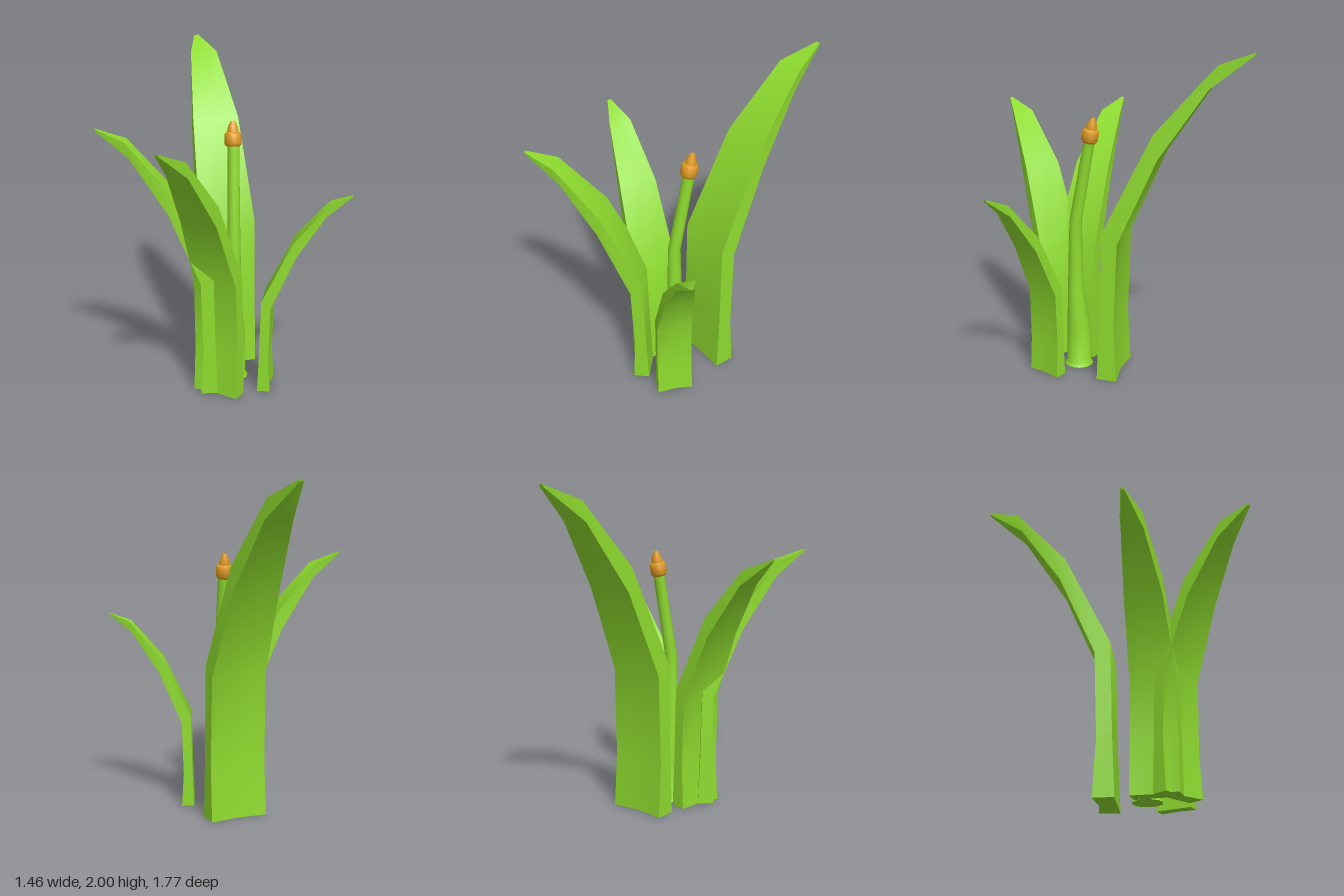
import * as THREE from 'three';
import { toCreasedNormals } from 'three/addons/utils/BufferGeometryUtils.js';

const leafGreen = new THREE.MeshStandardMaterial({ color: 0x8edb2e });
const budOrange = new THREE.MeshStandardMaterial({ color: 0xe09a20 });

// Skins a list of rings (each counter-clockwise from above) and caps both ends
function loft(rings, crease) {
  const n = rings[0].length;
  const pos = [];
  const tri = (...pts) => pts.forEach((p) => pos.push(p.x, p.y, p.z));
  const middle = (ring) => ring.reduce((s, p) => s.add(p), new THREE.Vector3()).divideScalar(n);
  const first = rings[0], last = rings[rings.length - 1];
  for (let j = 0; j < n; j++) {
    const k = (j + 1) % n;
    for (let i = 0; i < rings.length - 1; i++) {
      const lo = rings[i], hi = rings[i + 1];
      tri(lo[j], lo[k], hi[k]);
      tri(lo[j], hi[k], hi[j]);
    }
    tri(middle(first), first[k], first[j]);
    tri(middle(last), last[j], last[k]);
  }
  const geo = new THREE.BufferGeometry();
  geo.setAttribute('position', new THREE.Float32BufferAttribute(pos, 3));
  return toCreasedNormals(geo, crease);
}

// Leaf stations: inner reach, inner height, outer reach, outer height, half width
const stations = [
  [0, 0, 0.125, 0, 0.18],
  [0.015, 0.38, 0.105, 0.34, 0.178],
  [0.028, 0.94, 0.122, 0.88, 0.175],
  [0.32, 1.54, 0.35, 1.4, 0.145],
  [0.645, 1.915, 0.62, 1.8, 0.085],
  [0.86, 2, 0.855, 1.985, 0.014],
];

function leafGeometry() {
  const rings = stations.map(([ui, yi, uo, yo, w]) => {
    const inner = (x) => new THREE.Vector3(x, yi, ui);
    const outer = (x) => new THREE.Vector3(x, yo, uo);
    const groove = outer(0).lerp(inner(0), 0.15);
    return [inner(w), inner(0), inner(-w), outer(-w), groove, outer(w)];
  });
  return loft(rings, 0.75);
}

// Stalk stations: height, z of the centre, radius
function stalkGeometry() {
  const path = [
    [0.005, 0.13, 0.09], [0.03, 0.13, 0.075], [0.25, 0.13, 0.073],
    [0.52, 0.152, 0.048], [0.95, 0.148, 0.038], [1.47, 0.048, 0.034],
  ];
  const sides = 12;
  const rings = path.map(([y, z, r]) => Array.from({ length: sides }, (_, j) => {
    const a = (j / sides) * Math.PI * 2;
    return new THREE.Vector3(0.05 + r * Math.cos(a), y, z - r * Math.sin(a));
  }));
  return loft(rings, 0.8);
}

export function createModel() {
  const model = new THREE.Group();

  // Four leaves of one shape: name, base x, base z, outward x, outward z, scale
  const geo = leafGeometry();
  const leaves = [
    ['backLeaf', 0.025, -0.04, -0.215, -0.977, 1],
    ['rightLeaf', -0.055, 0.225, -1, 0.01, 0.795],
    ['frontLeaf', -0.02, 0.29, -0.51, 0.86, 0.795],
    ['leftLeaf', 0.205, 0.24, 0.98, 0.19, 0.61],
  ];
  for (const [name, x, z, dx, dz, s] of leaves) {
    const leaf = new THREE.Mesh(geo, leafGreen);
    leaf.name = name;
    leaf.position.set(x, 0, z);
    leaf.rotation.y = Math.atan2(dx, dz);
    leaf.scale.setScalar(s);
    model.add(leaf);
  }

  // Flower stalk with a flared foot
  const stalk = new THREE.Mesh(stalkGeometry(), leafGreen);
  stalk.name = 'stalk';
  model.add(stalk);

  // Bud: a rounded collar with a small blunt tip
  const profile = [
    [0, 0], [0.038, 0], [0.049, 0.012], [0.05, 0.07], [0.042, 0.082],
    [0.034, 0.084], [0.03, 0.11], [0.014, 0.148], [0, 0.15],
  ].map(([r, y]) => new THREE.Vector2(r, y));
  const bud = new THREE.Mesh(
    toCreasedNormals(new THREE.LatheGeometry(profile, 12), 0.8), budOrange);
  bud.name = 'bud';
  bud.position.set(0.047, 1.445, 0.055);
  bud.rotation.x = -0.2;
  model.add(bud);

  return model;
}
